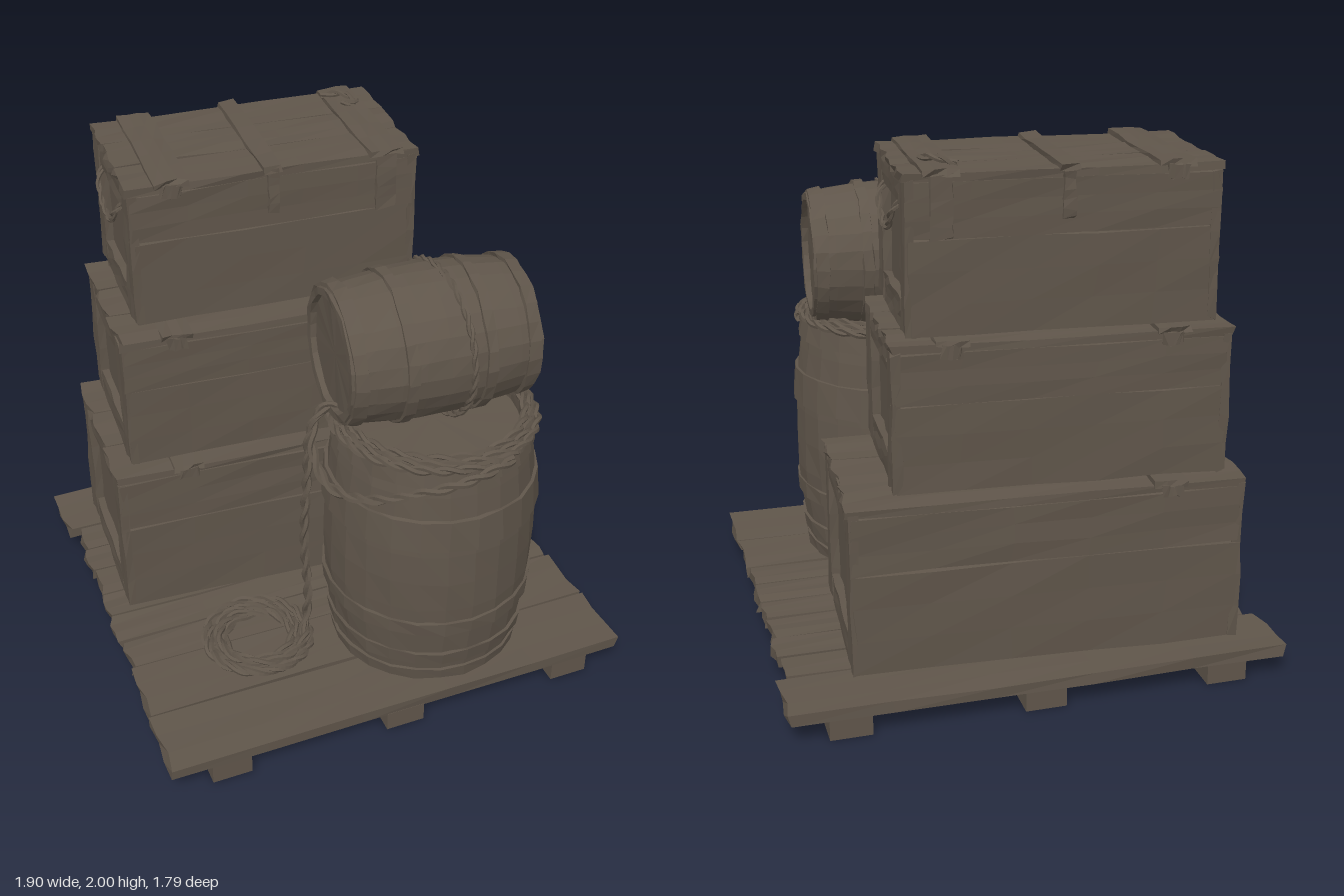
import * as THREE from 'three';

const wood = new THREE.MeshStandardMaterial({ color: 0x5f554a, flatShading: true, side: THREE.DoubleSide });
wood.name = 'weathered brown';

// Repeatable noise in -1..1 from a position, so shared corners move together
const noise = (x, y, z, s) => {
  const r = v => Math.round(v * 200);
  const n = Math.sin(r(x) * 12.9898 + r(y) * 78.233 + r(z) * 37.719 + s * 53.17) * 43758.5453;
  return (n - Math.floor(n)) * 2 - 1;
};

function roughen(geo, s, ax, ay, az) {
  const p = geo.attributes.position;
  for (let i = 0; i < p.count; i++) {
    const x = p.getX(i), y = p.getY(i), z = p.getZ(i);
    p.setXYZ(i, x + ax * noise(x, y, z, s), y + ay * noise(x, y, z, s + 1), z + az * noise(x, y, z, s + 2));
  }
  geo.computeVertexNormals();
  return geo;
}

function add(parent, name, geo, x = 0, y = 0, z = 0) {
  const m = new THREE.Mesh(geo, wood);
  m.name = name;
  m.position.set(x, y, z);
  parent.add(m);
  return m;
}

function group(parent, name, x, y, z, ry = 0) {
  const g = new THREE.Group();
  g.name = name;
  g.position.set(x, y, z);
  g.rotation.y = ry;
  parent.add(g);
  return g;
}

// Worn board: ragged ends along its longest side
let seed = 1;
function board(parent, name, w, h, d, x, y, z) {
  const m = Math.max(w, h, d), n = v => (v === m ? 5 : v > 0.1 ? 3 : 1);
  const k = v => (v === m ? 0.012 : 0.004);
  const geo = new THREE.BoxGeometry(w, h, d, n(w), n(h), n(d));
  return add(parent, name, roughen(geo, seed++, k(w), k(h), k(d)), x, y, z);
}

// Pallet: three skids under planks of uneven length
function pallet(root) {
  const g = group(root, 'pallet', 0, 0, 0);
  [-0.71, 0, 0.72].forEach(x => add(g, 'skid', new THREE.BoxGeometry(0.155, 0.08, 1.76), x, 0.04, 0));
  const edges = [-0.89, -0.62, -0.465, -0.315, -0.155, -0.01, 0.15, 0.31, 0.585, 0.885];
  const lengths = [1.88, 1.8, 1.84, 1.82, 1.84, 1.86, 1.84, 1.86, 1.87];
  lengths.forEach((len, i) => {
    const d = edges[i + 1] - edges[i];
    board(g, 'plank', len, 0.045, d - 0.008, 0, 0.1, edges[i] + d / 2);
  });
}

// Crate: inner box, long side boards, framed ends and a lid
function crate(root, name, w, h, d, x, y, z, ry, straps) {
  const g = group(root, name, x, y, z, ry);
  const f = 0.11, t = 0.035;
  add(g, 'innerBox', new THREE.BoxGeometry(w - 2 * t, h - 0.04, d - 0.04), 0, h / 2, 0);
  const split = [0, 0.64, 1];
  for (const s of [-1, 1]) {
    for (let i = 0; i < 2; i++) {
      const bh = (split[i + 1] - split[i]) * (h - 0.03);
      board(g, 'sideBoard', w - 0.02, bh - 0.006, 0.03, 0, split[i] * (h - 0.03) + bh / 2, s * (d / 2 - 0.015));
    }
    const ex = s * (w / 2 - t / 2);
    for (const e of [-1, 1]) {
      board(g, 'endPost', t, h - 0.03, f, ex, h / 2 - 0.01, e * (d / 2 - f / 2));
      board(g, 'endRail', t - 0.006, f, d - 2 * f, ex, e > 0 ? h - f / 2 - 0.01 : f / 2, 0);
    }
  }
  for (let i = 0; i < 3; i++) {
    board(g, 'lidBoard', w + 0.005, 0.03, d / 3 - 0.004, 0, h - 0.015, (i - 1) * d / 3);
  }
  // Lid straps with tabs folded down front and back
  straps.forEach(([sx, sw, drop]) => {
    board(g, 'strap', sw, 0.022, d + 0.02, sx, h + 0.004, 0);
    for (const s of [-1, 1]) board(g, 'strapTab', sw * 0.6, drop, 0.016, sx, h - drop / 2, s * (d / 2 + 0.006));
  });
  return g;
}

// Two strands twisted about a smooth path
function rope(parent, name, pts, r, closed = false) {
  const path = new THREE.CatmullRomCurve3(pts, closed);
  const n = Math.ceil(path.getLength() / 0.03);
  const fr = path.computeFrenetFrames(n, closed);
  const turns = Math.round(path.getLength() / (r * 9));
  for (const phase of [0, Math.PI]) {
    const strand = [];
    for (let i = 0; i < (closed ? n : n + 1); i++) {
      const a = phase + i / n * turns * Math.PI * 2;
      strand.push(path.getPointAt(i / n)
        .addScaledVector(fr.normals[i], Math.cos(a) * r * 0.5)
        .addScaledVector(fr.binormals[i], Math.sin(a) * r * 0.5));
    }
    add(parent, name, new THREE.TubeGeometry(new THREE.CatmullRomCurve3(strand, closed), n * 2, r * 0.58, 5, closed));
  }
}

// Points winding around the y axis
function winding(cx, cy, cz, turns, radius, height) {
  const pts = [], n = turns * 12;
  for (let i = 0; i <= n; i++) {
    const a = i / 12 * Math.PI * 2, k = i / n;
    pts.push(new THREE.Vector3(cx + Math.cos(a) * radius(k), cy + height(k), cz + Math.sin(a) * radius(k)));
  }
  return pts;
}

// Bulging cask with recessed heads and hoops, standing on y = 0
function cask(parent, name, h, rEnd, rMid, lip, hoops) {
  const g = group(parent, name, 0, 0, 0);
  const radius = y => rMid - (rMid - rEnd) * Math.pow(Math.abs(2 * y / h - 1), 2);
  const V = (r, y) => new THREE.Vector2(r, y);
  const pts = [V(0, lip), V(rEnd - 0.03, lip), V(rEnd - 0.03, 0)];
  for (let i = 0; i <= 8; i++) pts.push(V(radius(i / 8 * h), i / 8 * h));
  pts.push(V(rEnd - 0.03, h), V(rEnd - 0.03, h - lip), V(0, h - lip));
  add(g, 'staves', roughen(new THREE.LatheGeometry(pts, 24), seed++, 0.003, 0.003, 0.003));
  hoops.forEach(([a, b]) => {
    const ring = [V(radius(a) - 0.01, a), V(radius(a) + 0.012, a), V(radius(b) + 0.012, b), V(radius(b) - 0.01, b)];
    add(g, 'hoop', roughen(new THREE.LatheGeometry(ring, 24), seed++, 0.003, 0.005, 0.003));
  });
  return g;
}

export function createModel() {
  const root = new THREE.Group();
  root.name = 'cargoStack';
  const V = (x, y, z) => new THREE.Vector3(x, y, z);

  pallet(root);

  // Stacked crates, each turned slightly
  crate(root, 'bottomCrate', 1.47, 0.65, 0.73, -0.08, 0.125, -0.36, -0.06, [[-0.45, 0.12, 0.04]]);
  crate(root, 'middleCrate', 1.23, 0.55, 0.66, -0.13, 0.805, -0.37, -0.07, [[-0.4, 0.12, 0.05], [0.4, 0.12, 0.05]]);
  const top = crate(root, 'topCrate', 1.11, 0.565, 0.61, -0.115, 1.39, -0.41, -0.06,
    [[-0.39, 0.13, 0.05], [-0.01, 0.07, 0.17], [0.43, 0.13, 0.22]]);

  // Rope handles on both ends of the top crate
  for (const s of [-1, 1]) {
    const x = s * 0.555;
    rope(top, 'ropeHandle', [V(x - s * 0.03, 0.46, -0.17), V(x + s * 0.012, 0.42, -0.155),
      V(x + s * 0.02, 0.345, -0.08), V(x + s * 0.02, 0.33, 0), V(x + s * 0.02, 0.345, 0.08),
      V(x + s * 0.012, 0.42, 0.155), V(x - s * 0.03, 0.46, 0.17)], 0.013);
  }
  // Knot on the lid
  rope(top, 'lidKnot', [V(0.36, 0.58, -0.24), V(0.43, 0.6, -0.2), V(0.47, 0.585, -0.12), V(0.41, 0.585, -0.14)], 0.014);

  // Standing barrel
  const barrel = cask(root, 'barrel', 1.035, 0.36, 0.41, 0.04,
    [[0.01, 0.06], [0.1, 0.16], [0.27, 0.33], [0.68, 0.81], [0.95, 1.02]]);
  barrel.position.set(0.265, 0.122, 0.465);

  // Keg lying on the barrel
  const keg = cask(root, 'keg', 0.73, 0.25, 0.285, 0.025, [[0.01, 0.06], [0.2, 0.24], [0.5, 0.54], [0.67, 0.72]]);
  const kegHolder = group(root, 'kegHolder', 0.25, 1.425, 0.385, -0.06);
  keg.rotation.z = -Math.PI / 2;
  keg.position.x = -0.365;
  kegHolder.add(keg);

  // Rope around the keg
  const loop = [];
  for (let i = 0; i < 16; i++) {
    const a = i / 16 * Math.PI * 2;
    loop.push(V(0.05 + 0.03 * Math.sin(a), Math.cos(a) * 0.29 - 0.003, Math.sin(a) * 0.3));
  }
  rope(kegHolder, 'kegRope', loop, 0.014, true);

  // Rope wound on the barrel rim
  rope(root, 'rimRope', winding(0.26, 1.15, 0.46, 3, k => 0.395 - 0.07 * k, k => 0.03 * k), 0.018);

  // Rope draped from the rim to the floor
  rope(root, 'drapedRope', [V(0.4, 1.15, 0.85), V(0.22, 1.13, 0.885), V(0.05, 1.07, 0.82), V(-0.1, 0.99, 0.68),
    V(-0.18, 0.96, 0.5), V(-0.19, 1.08, 0.38), V(-0.14, 1.19, 0.36), V(0, 1.17, 0.35)], 0.02);
  rope(root, 'hangingRope', [V(0, 1.17, 0.4), V(-0.12, 1.21, 0.37), V(-0.18, 1.13, 0.36), V(-0.2, 0.9, 0.36),
    V(-0.21, 0.6, 0.35), V(-0.2, 0.3, 0.36), V(-0.21, 0.18, 0.36), V(-0.25, 0.145, 0.42)], 0.019);

  // Rope coil on the pallet
  rope(root, 'floorCoil', winding(-0.41, 0.142, 0.345, 5,
    k => 0.17 + 0.042 * Math.cos(k * 9), k => 0.02 * k + 0.008 * Math.sin(k * 17)), 0.018);

  return root;
}
